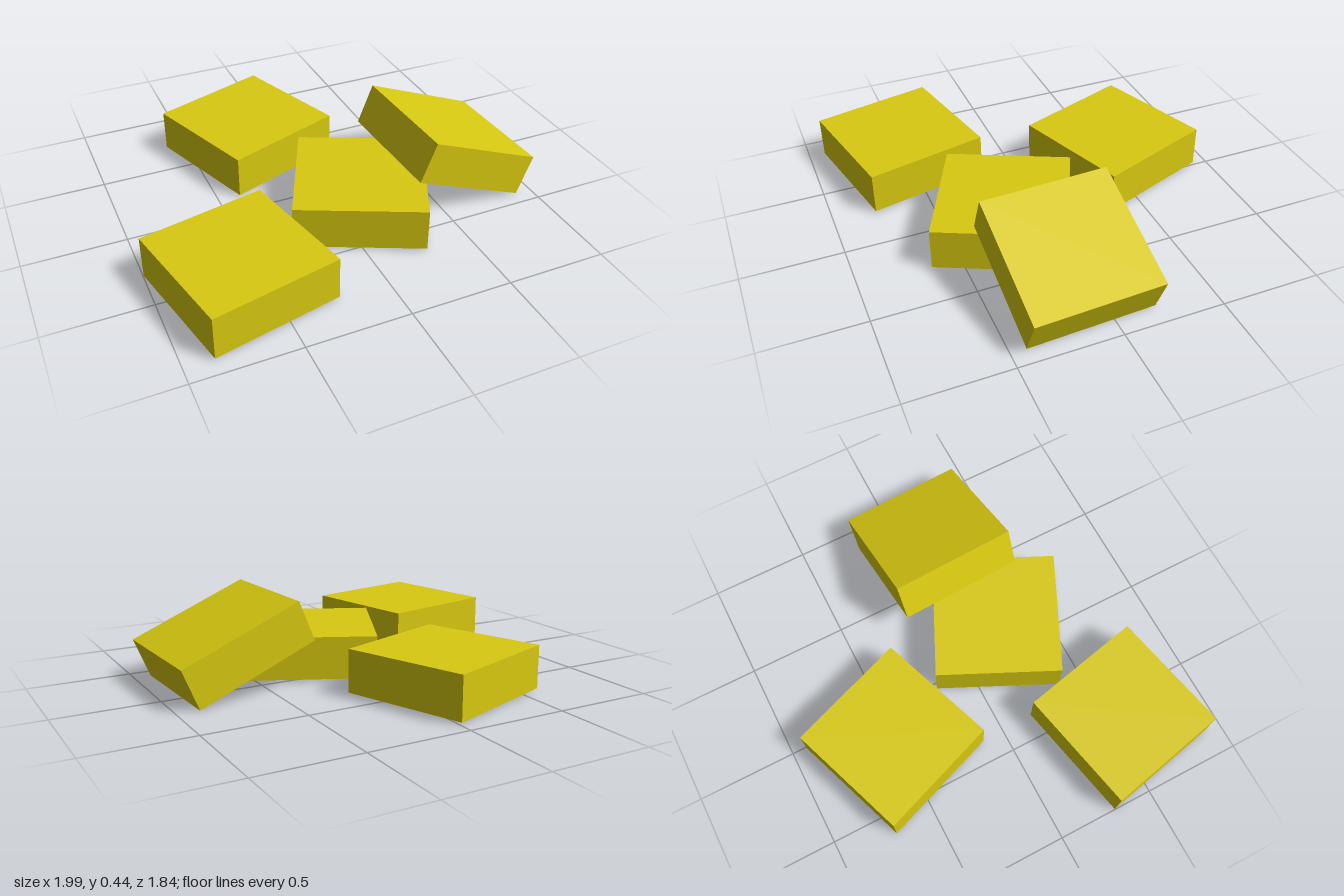
import * as THREE from 'three';

export function createModel() {
  const group = new THREE.Group();
  const yellow = new THREE.MeshStandardMaterial({ color: 0xd8c910 });
  yellow.name = 'yellow';
  const block = new THREE.BoxGeometry(0.633, 0.212, 0.633);

  // name, centre, turn about the vertical, tilt
  const blocks = [
    ['backBlock', [-0.2, 0.115, -0.52], 0.347, 0],
    ['rightBlock', [-0.622, 0.115, 0.542], 0.214, 0],
    ['middleBlock', [0.12, 0.115, 0.225], -0.442, 0],
    ['leaningBlock', [0.65, 0.219, 0.118], 0.04, -0.39],
  ];
  for (const [name, centre, turn, tilt] of blocks) {
    const mesh = new THREE.Mesh(block, yellow);
    mesh.name = name;
    mesh.position.set(...centre);
    mesh.rotation.set(0, turn, tilt);
    group.add(mesh);
  }
  return group;
}
